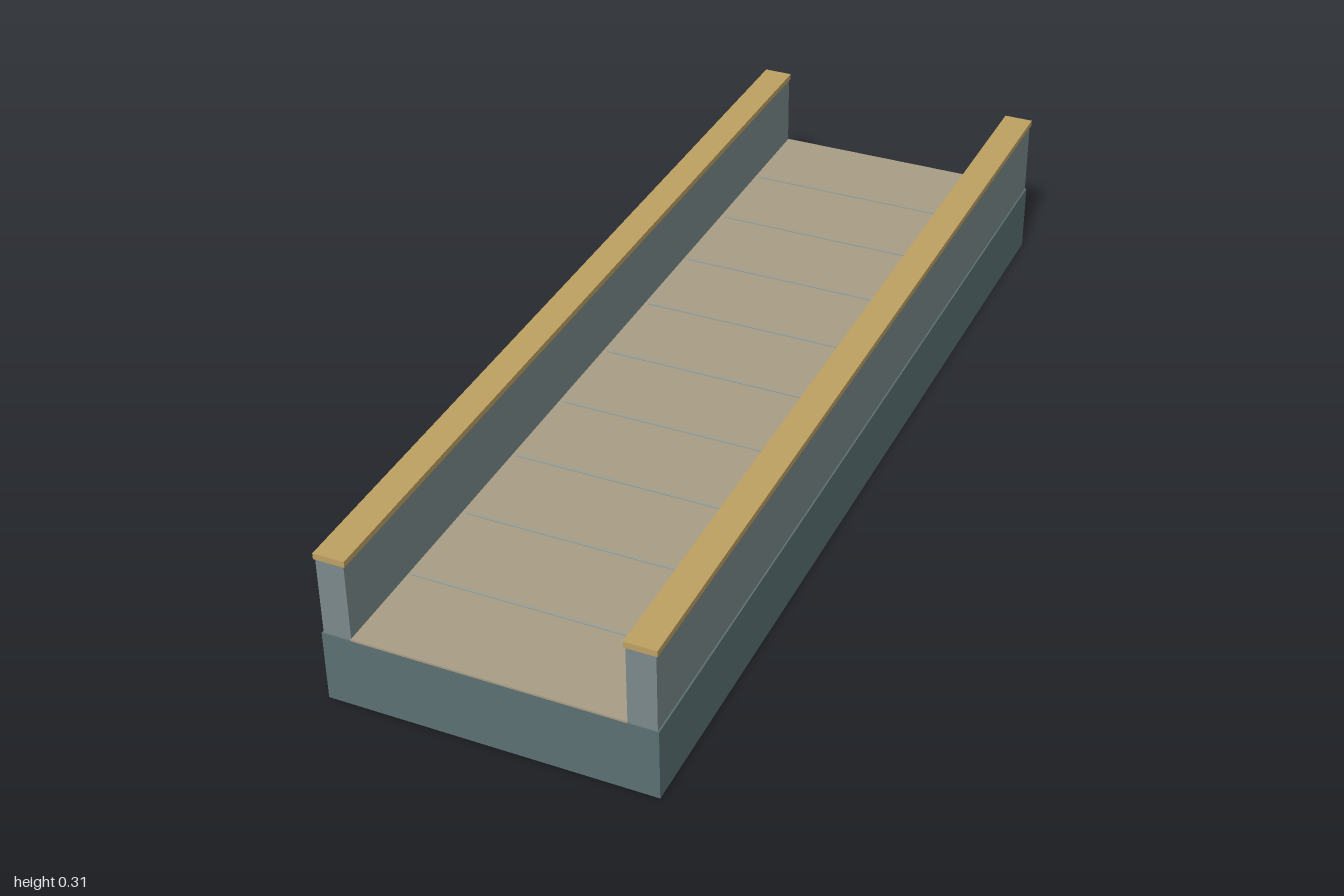
import * as THREE from 'three';

const LENGTH = 1.947, WIDTH = 0.627;
const BASE_TOP = 0.143, DECK_TOP = 0.147, WALL_TOP = 0.3, CAP_TOP = 0.312;
const CAP_W = 0.06, WALL_W = 0.054, SEAMS = 9;

const mat = (color) => new THREE.MeshStandardMaterial({ color });

export function createModel() {
  const model = new THREE.Group();
  model.name = 'walledWalkway';
  const stone = mat(0x5b7072), wallMat = mat(0x7b898b), paving = mat(0xa99d86);
  const trim = mat(0xbfa163), seamMat = mat(0x9aa096);

  // Box spanning y0..y1, centred at x, z
  const slab = (name, material, w, d, y0, y1, x = 0, z = 0) => {
    const mesh = new THREE.Mesh(new THREE.BoxGeometry(w, y1 - y0, d), material);
    mesh.name = name;
    mesh.position.set(x, (y0 + y1) / 2, z);
    model.add(mesh);
  };

  // Foundation and walking surface
  slab('base', stone, WIDTH, LENGTH, 0, BASE_TOP);
  slab('deck', paving, WIDTH - 2 * CAP_W + 0.008, LENGTH, BASE_TOP, DECK_TOP);

  // Thin seams dividing the deck into equal slabs
  for (let i = 1; i <= SEAMS; i++) {
    const z = (i / (SEAMS + 1) - 0.5) * LENGTH;
    slab('deckSeam', seamMat, 0.495, 0.005, DECK_TOP - 0.002, DECK_TOP + 0.002, 0, z);
  }

  // Side walls with slightly overhanging caps
  for (const [side, s] of [['left', 1], ['right', -1]]) {
    const x = s * (WIDTH - CAP_W) / 2;
    slab(side + 'Wall', wallMat, WALL_W, LENGTH - 0.004, BASE_TOP, WALL_TOP, x);
    slab(side + 'WallCap', trim, CAP_W, LENGTH, WALL_TOP, CAP_TOP, x);
  }

  // The walkway runs diagonally
  model.rotation.y = -Math.PI / 6;
  const root = new THREE.Group();
  root.name = 'model';
  root.add(model);
  return root;
}
